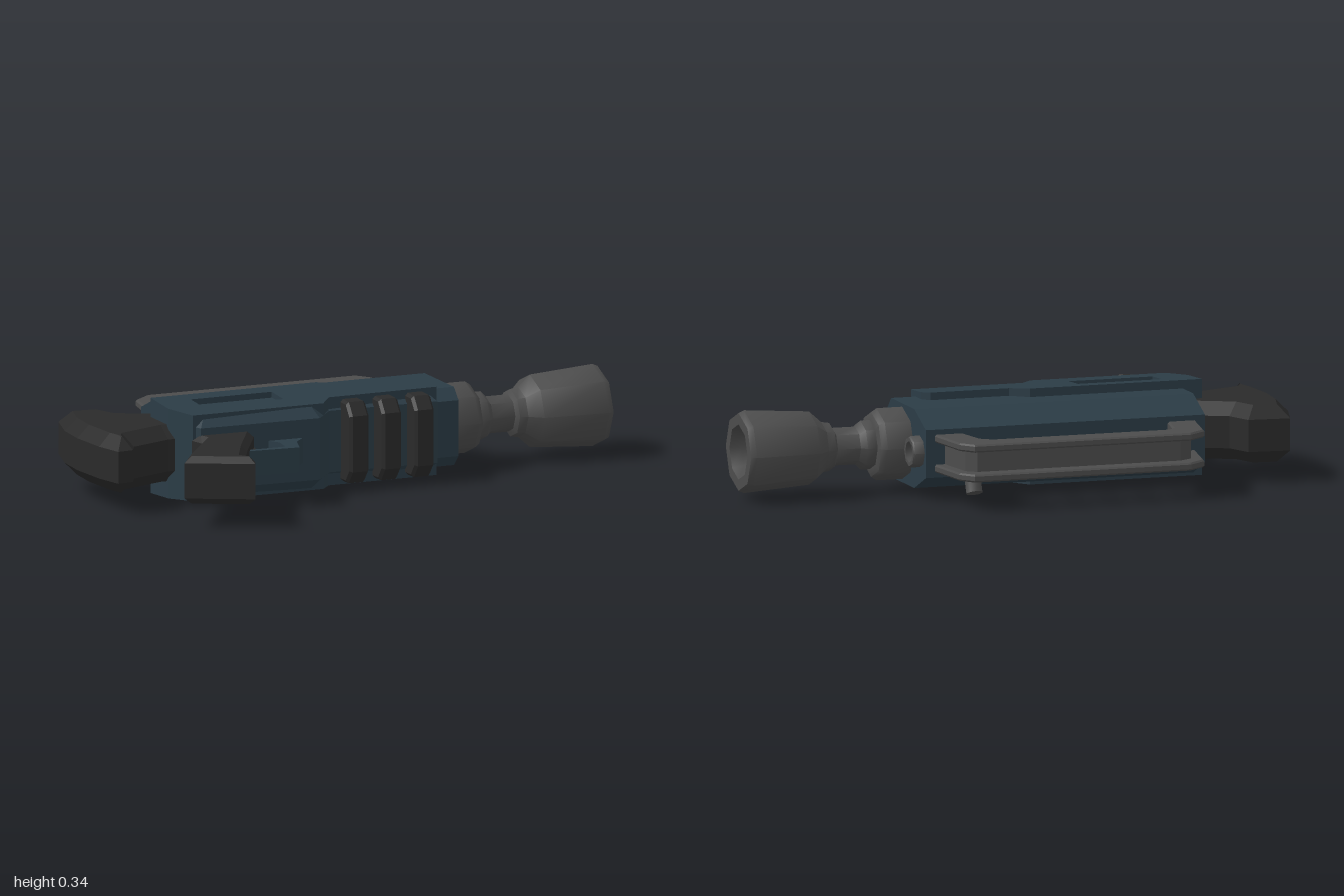
import * as THREE from 'three';
import { toCreasedNormals } from 'three/addons/utils/BufferGeometryUtils.js';

const mat = (color) => new THREE.MeshStandardMaterial({ color, roughness: 0.8 });
const BLUE = mat(0x2b3c46), DARK = mat(0x2a2a2a), GREY = mat(0x4c4c4c), BLACK = mat(0x191b1d);

const shapeOf = (pts) => new THREE.Shape(pts.map(([x, y]) => new THREE.Vector2(x, y)));

// Chamfered slab: outline in x/y, centred in thickness
function slab(pts, half, bevel = 0, hole = null) {
  const shape = shapeOf(pts);
  if (hole) shape.holes.push(new THREE.Path(hole.map(([x, y]) => new THREE.Vector2(x, y))));
  const g = new THREE.ExtrudeGeometry(shape, {
    depth: 2 * (half - bevel), bevelEnabled: bevel > 0, bevelThickness: bevel,
    bevelSize: bevel, bevelOffset: -bevel, bevelSegments: 1,
  });
  return g.translate(0, 0, bevel - half);
}

// Mirrored cross-section (half width, height) swept along x
function sweepX(profile, x0, x1, bevel = 0) {
  const pts = [...profile, ...profile.slice().reverse().map(([w, h]) => [-w, h])];
  return slab(pts, (x1 - x0) / 2, bevel).rotateY(Math.PI / 2).translate((x0 + x1) / 2, 0, 0);
}

// Faceted turned part along x; profile is (radius, x)
function turned(profile, sides, y) {
  const g = new THREE.LatheGeometry(profile.map(([r, t]) => new THREE.Vector2(r, t)), sides);
  return toCreasedNormals(g.rotateZ(-Math.PI / 2), 0.85).translate(0, y, 0);
}

export function createModel() {
  // Modelled upright, then laid on its side
  const gun = new THREE.Group();
  gun.name = 'blaster';
  const add = (name, geometry, material) => {
    const m = new THREE.Mesh(geometry, material);
    m.name = name;
    gun.add(m);
    return m;
  };

  // Receiver: upper housing and lower housing
  add('upperBody', sweepX([[0.1, -0.07], [0.14, -0.03], [0.14, 0.22], [0.085, 0.347]], -0.636, 0.395), BLUE);
  add('lowerBody', slab([[-0.68, 0.1], [0.3, 0.05], [0.3, -0.1], [-0.11, -0.09],
    [-0.19, -0.187], [-0.64, -0.175], [-0.68, -0.05]], 0.145, 0.035), BLUE);

  // Raised side plates with a recessed slot, thinning towards the underside
  const plate = slab([[-0.706, 0.11], [-0.07, 0.11], [-0.01, 0.06], [0.28, 0.06], [0.305, 0.03], [0.305, -0.08],
    [-0.11, -0.085], [-0.16, -0.15], [-0.66, -0.15], [-0.706, -0.04]], 0.17, 0,
  [[-0.58, -0.055], [-0.27, -0.055], [-0.27, 0.045], [-0.58, 0.045]]);
  const p = plate.attributes.position;
  for (let i = 0; i < p.count; i++) p.setZ(i, Math.sign(p.getZ(i)) * (0.163 + p.getY(i) * 0.065));
  plate.computeVertexNormals();
  add('sidePlates', plate, BLUE);
  for (const s of [-1, 1]) {
    add('slotPanel', new THREE.BoxGeometry(0.27, 0.065, 0.006).translate(-0.425, -0.005, s * 0.146), BLUE);
  }

  // Shoulder stock
  add('stock', slab([[-0.947, 0.36], [-0.797, 0.347], [-0.76, 0.25], [-0.62, 0.18], [-0.62, -0.07], [-0.72, -0.07],
    [-0.877, -0.13], [-0.904, -0.18], [-0.963, -0.187], [-0.988, -0.08], [-1, 0.08], [-0.99, 0.21]], 0.102, 0.045), DARK);

  // Pistol grip
  add('grip', slab([[-0.663, -0.15], [-0.65, -0.205], [-0.76, -0.358], [-0.84, -0.48], [-0.62, -0.594], [-0.604, -0.556],
    [-0.626, -0.52], [-0.56, -0.39], [-0.44, -0.18], [-0.44, -0.15]], 0.085, 0.022), DARK);

  // Trigger guard and trigger
  add('triggerGuard', slab([[-0.55, -0.29], [-0.37, -0.294], [-0.36, -0.225], [-0.39, -0.17], [-0.24, -0.17],
    [-0.3, -0.235], [-0.33, -0.326], [-0.55, -0.31]], 0.045), BLUE);
  add('trigger', slab([[-0.5, -0.16], [-0.43, -0.16], [-0.445, -0.21], [-0.435, -0.255], [-0.49, -0.245]], 0.025), DARK);

  // Fore-end ribs
  for (const x of [-0.028, 0.096, 0.222]) {
    const rib = sweepX([[0.1, -0.17], [0.145, -0.135], [0.148, -0.04], [0.12, -0.02]], x - 0.037, x + 0.037, 0.01);
    add('foreEndRib', rib, DARK);
  }

  // Carry handle: two side rails joined by a recessed web
  const inner = [[0.257, 0.34], [0.235, 0.47], [0.2, 0.5], [-0.45, 0.5], [-0.476, 0.47], [-0.5, 0.34]];
  const rail = [[-0.604, 0.34], [-0.567, 0.545], [-0.5, 0.6], [0.3, 0.6], [0.34, 0.545], [0.363, 0.34], ...inner];
  const web = [[-0.565, 0.34], [-0.53, 0.51], [-0.48, 0.54], [0.27, 0.54], [0.305, 0.51], [0.325, 0.34], ...inner];
  for (const s of [-1, 1]) {
    add('handleRail', slab(rail, 0.014, 0.006).translate(0, 0, s * 0.053), GREY);
  }
  add('handleWeb', slab(web, 0.045), GREY);

  // Barrel: collar, neck, flared muzzle and bore
  add('barrel', turned([[0, 0.38], [0.128, 0.38], [0.128, 0.49], [0.115, 0.51], [0.087, 0.515], [0.087, 0.55], [0.067, 0.57],
    [0.067, 0.655], [0.085, 0.665], [0.09, 0.695], [0.13, 0.74], [0.147, 0.98], [0.138, 1],
    [0.098, 1], [0.085, 0.96], [0.075, 0.76], [0, 0.76]], 8, 0.09), GREY);

  // Short upper tube above the barrel
  add('upperTube', turned([[0.056, 0.38], [0.056, 0.43], [0.052, 0.435], [0.038, 0.435], [0.034, 0.4], [0, 0.4]], 8, 0.28), GREY);

  // Bolt slot and knob on the sloping right flank
  const flank = new THREE.Group();
  flank.name = 'boltAssembly';
  flank.position.set(0, 0.283, -0.1125);
  flank.rotation.x = Math.atan2(0.055, 0.127) - Math.PI / 2 - Math.PI / 2;
  flank.rotation.x = -Math.PI / 2 + Math.atan2(0.055, 0.127);
  const slot = new THREE.Mesh(new THREE.BoxGeometry(0.68, 0.006, 0.04).translate(-0.16, 0, 0), BLACK);
  slot.name = 'boltSlot';
  const knob = new THREE.Mesh(toCreasedNormals(new THREE.CylinderGeometry(0.03, 0.03, 0.07, 8), 0.85), GREY);
  knob.name = 'boltKnob';
  knob.position.set(0.2, 0.012, 0);
  flank.add(slot, knob);
  gun.add(flank);

  gun.rotation.x = -Math.PI / 2;
  gun.position.y = 0.17;
  const model = new THREE.Group();
  model.name = 'model';
  model.add(gun);
  return model;
}
